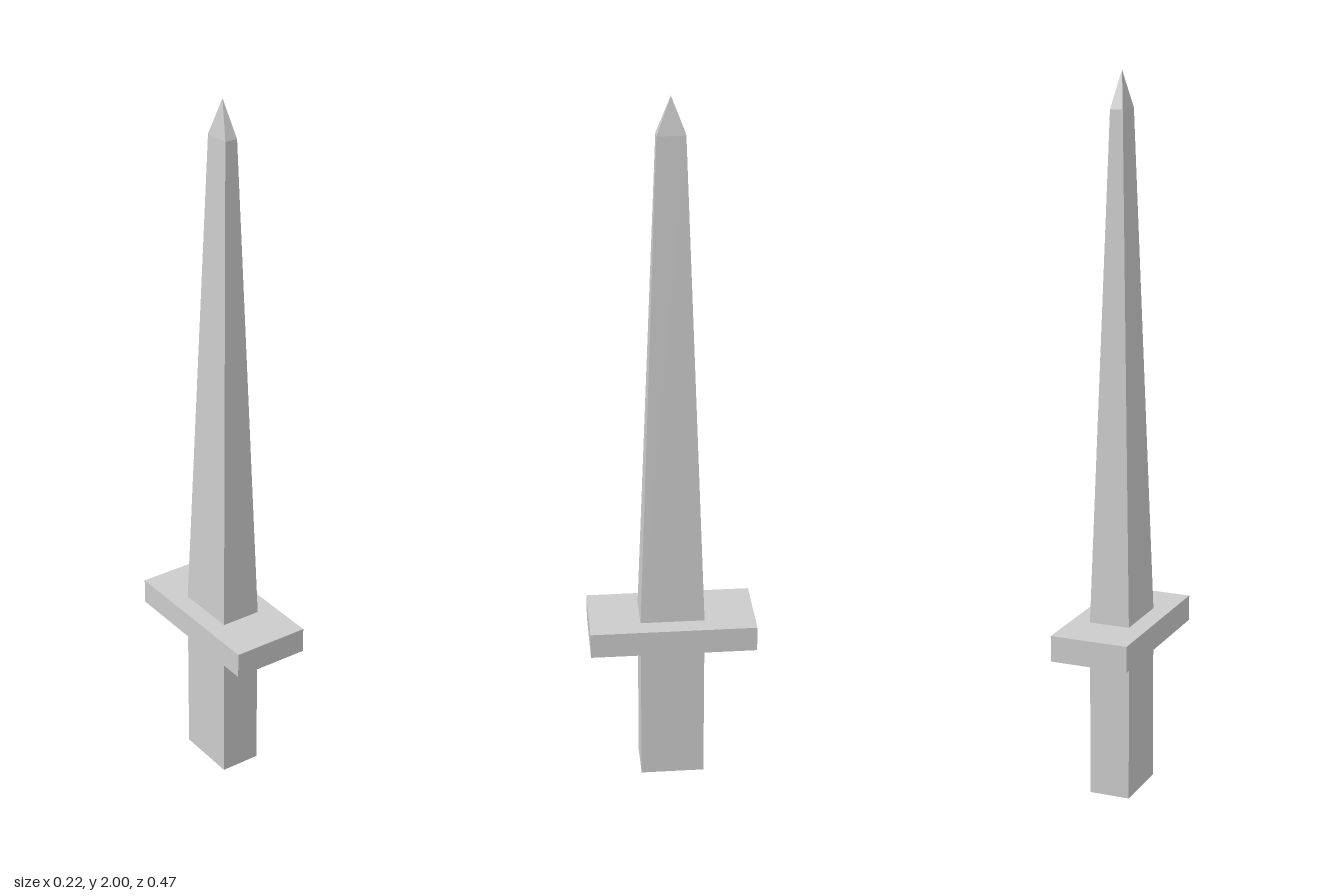
import * as THREE from 'three';

const material = new THREE.MeshStandardMaterial({ color: 0xcccccc, flatShading: true });

// Four-sided block from y0 to y1, with half sizes [x, z] at the bottom and top
function taperedBlock(name, y0, y1, bottom, top = bottom) {
  const geometry = new THREE.BoxGeometry(2, y1 - y0, 2);
  geometry.translate(0, (y0 + y1) / 2, 0);
  const p = geometry.attributes.position;
  const middle = (y0 + y1) / 2;
  for (let i = 0; i < p.count; i++) {
    const [hx, hz] = p.getY(i) > middle ? top : bottom;
    p.setX(i, p.getX(i) * hx);
    p.setZ(i, p.getZ(i) * hz);
  }
  geometry.computeVertexNormals();
  const mesh = new THREE.Mesh(geometry, material);
  mesh.name = name;
  return mesh;
}

// Four-sided pyramid closing the blade
function pyramid(name, y0, y1, [hx, hz]) {
  let geometry = new THREE.ConeGeometry(Math.SQRT2, y1 - y0, 4, 1, true);
  geometry.rotateY(Math.PI / 4);
  geometry.scale(hx, 1, hz);
  geometry.translate(0, (y0 + y1) / 2, 0);
  geometry = geometry.toNonIndexed();
  geometry.computeVertexNormals();
  const mesh = new THREE.Mesh(geometry, material);
  mesh.name = name;
  return mesh;
}

export function createModel() {
  const dagger = new THREE.Group();
  dagger.name = 'dagger';
  const shoulder = [0.018, 0.038];
  dagger.add(
    taperedBlock('handle', 0, 0.43, [0.058, 0.09]),
    taperedBlock('crossGuard', 0.43, 0.503, [0.111, 0.233]),
    taperedBlock('blade', 0.503, 1.9, [0.058, 0.09], shoulder),
    pyramid('bladeTip', 1.9, 2, shoulder),
  );
  return dagger;
}
